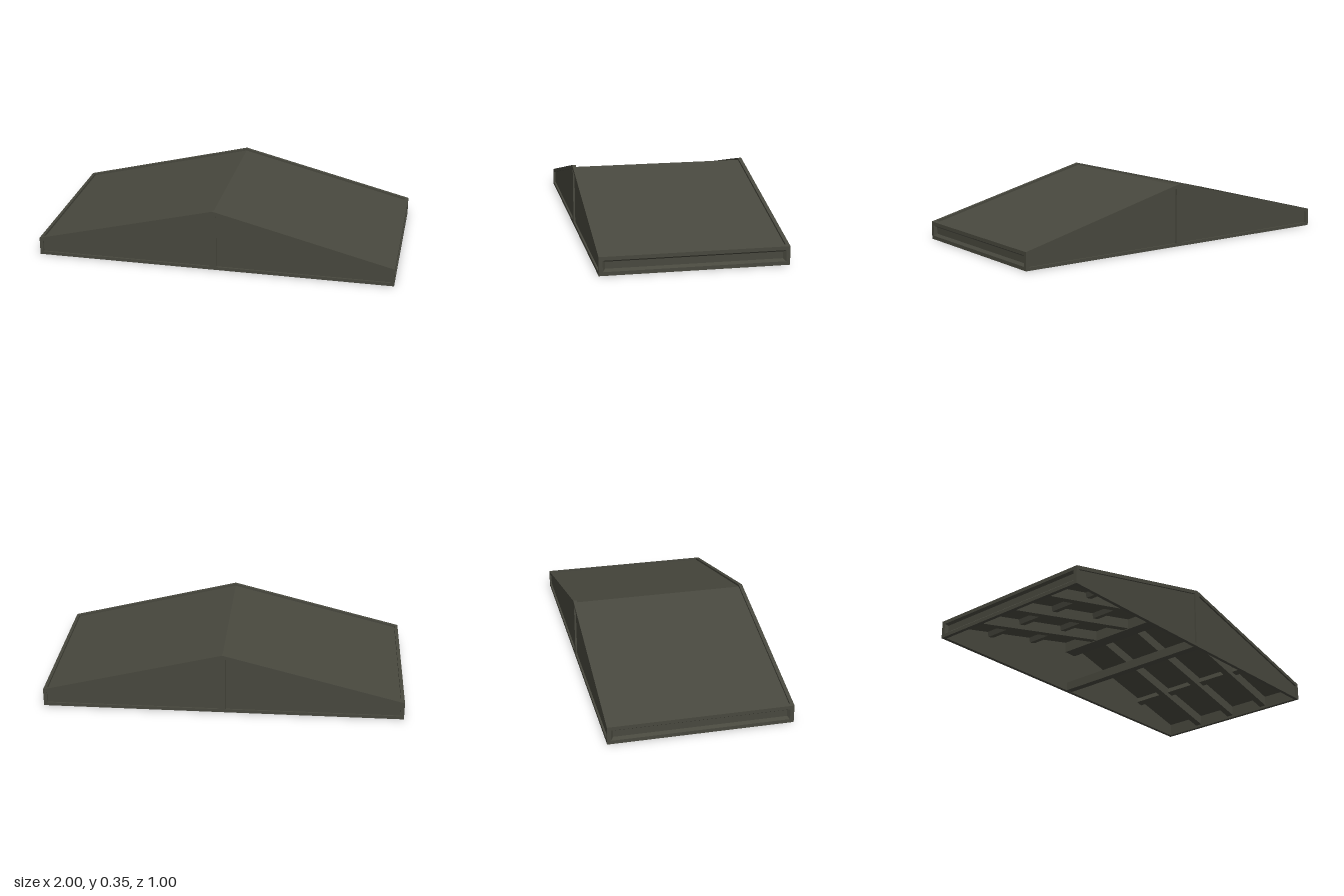
import * as THREE from 'three';

const roofY = (x) => 0.35 - 0.25 * Math.abs(x);

function polygon(points) {
  return new THREE.Shape(points.map(([x, y]) => new THREE.Vector2(x, y)));
}

// Extrude an x-y outline between two z positions
function slab(shape, z0, z1) {
  const g = new THREE.ExtrudeGeometry(shape, { depth: z1 - z0, bevelEnabled: false });
  return g.translate(0, 0, z0);
}

// Chevron that follows both roof slopes, between two vertical offsets
function chevron(halfWidth, top, bottom) {
  const w = halfWidth;
  return polygon([
    [-w, roofY(w) - bottom], [0, roofY(0) - bottom], [w, roofY(w) - bottom],
    [w, roofY(w) - top], [0, roofY(0) - top], [-w, roofY(w) - top],
  ]);
}

// Join rectangular rings [x, yLow, yHigh, halfZ] along x and cap both ends
function ringLoft(rings) {
  const pos = [];
  const corners = ([x, y0, y1, z]) => [[x, y0, z], [x, y0, -z], [x, y1, -z], [x, y1, z]];
  const quad = (a, b, c, d) => pos.push(...a, ...b, ...c, ...a, ...c, ...d);
  const loops = rings.map(corners);
  for (let i = 0; i < loops.length - 1; i++) {
    for (let k = 0; k < 4; k++) {
      const n = (k + 1) % 4;
      quad(loops[i][k], loops[i][n], loops[i + 1][n], loops[i + 1][k]);
    }
  }
  const last = loops[loops.length - 1];
  quad(...last);
  quad(...loops[0].slice().reverse());
  const g = new THREE.BufferGeometry();
  g.setAttribute('position', new THREE.Float32BufferAttribute(pos, 3));
  g.computeVertexNormals();
  return g;
}

export function createModel() {
  const model = new THREE.Group();
  model.name = 'gableRoof';
  const metal = new THREE.MeshStandardMaterial({ color: 0x48483e });
  metal.name = 'dark olive grey';

  const add = (name, geometry, parent = model) => {
    const mesh = new THREE.Mesh(geometry, metal);
    mesh.name = name;
    parent.add(mesh);
    return mesh;
  };

  // Roof deck, sunk slightly below the surrounding rim
  add('roofDeck', slab(chevron(0.98, 0.012, 0.032), -0.48, 0.48));

  // Gable ends: a backing wall and a frame around two sunken panels
  const outline = [[-1, 0], [1, 0], [1, 0.1], [0, 0.35], [-1, 0.1]];
  const frame = polygon(outline);
  for (const s of [-1, 1]) {
    frame.holes.push(new THREE.Path([
      [0.02, 0.018], [0.02, roofY(0.02) - 0.02], [0.98, roofY(0.98) - 0.02], [0.98, 0.018],
    ].map(([x, y]) => new THREE.Vector2(s * x, y))));
  }
  for (const [side, turn] of [['front', 0], ['back', Math.PI]]) {
    const gable = new THREE.Group();
    gable.name = side + 'Gable';
    gable.rotation.y = turn;
    add('gableWall', slab(polygon(outline), 0.48, 0.49), gable);
    add('gableFrame', slab(frame, 0.49, 0.5), gable);
    model.add(gable);
  }

  // Eave ends with a bevelled recess
  for (const [side, turn] of [['left', 0], ['right', Math.PI]]) {
    const eave = add(side + 'Eave', ringLoft([
      [0.98, 0, 0.105, 0.48],
      [1, 0, 0.1, 0.48],
      [1, 0.02, 0.08, 0.479],
      [0.985, 0.033, 0.07, 0.466],
    ]));
    eave.rotation.y = turn;
  }

  // Rafters under the deck
  for (const z of [-0.25, 0, 0.25]) {
    add('rafter', slab(chevron(0.98, 0.03, 0.09), z - 0.02, z + 0.02));
  }

  // Purlins running from gable to gable
  for (const x of [-0.66, -0.33, 0.33, 0.66]) {
    const purlin = add('purlin', new THREE.BoxGeometry(0.04, 0.035, 0.96));
    purlin.position.set(x, roofY(x) - 0.045, 0);
    purlin.rotation.z = -Math.sign(x) * Math.atan(0.25);
  }

  // Ridge beam and the lower tie beam
  const ridge = add('ridgeBeam', new THREE.BoxGeometry(0.08, 0.07, 0.96));
  ridge.position.set(0, 0.28, 0);
  const tie = add('tieBeam', new THREE.BoxGeometry(0.04, 0.05, 0.96));
  tie.position.set(0, 0.026, 0);

  return model;
}
